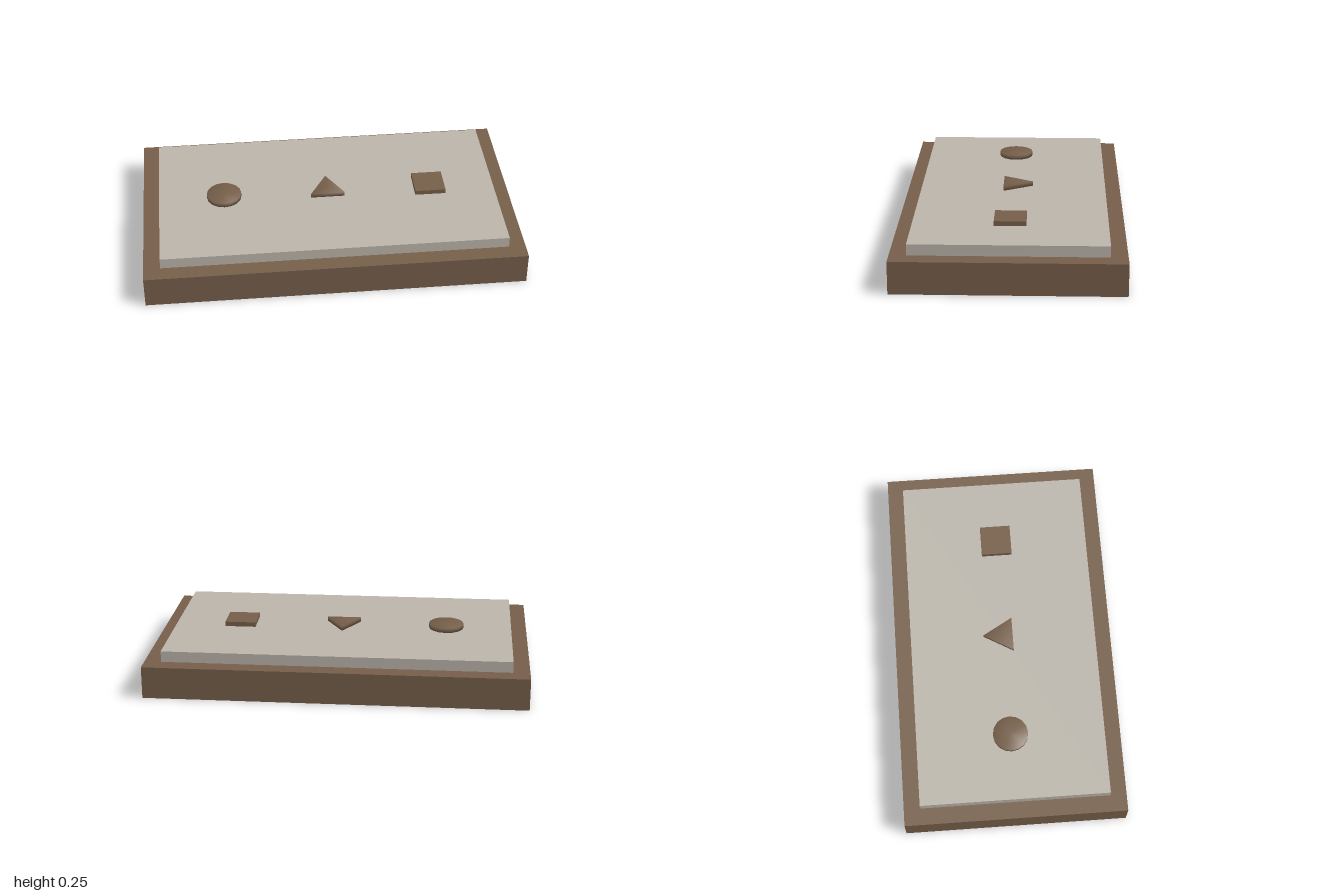
import * as THREE from 'three';
import { mergeVertices } from 'three/addons/utils/BufferGeometryUtils.js';

const BASE_TOP = 0.17, PANEL_TOP = 0.228, BUTTON_TOP = 0.253;

const wood = new THREE.MeshStandardMaterial({ name: 'brown', color: 0x765f4a });
const stone = new THREE.MeshStandardMaterial({ name: 'pale grey', color: 0xbbb5ab });

// Prism whose normals are shared between the cap and the sides
function softPrism(radius, height, sides, turn) {
  const geometry = new THREE.CylinderGeometry(radius, radius, height, sides, 1, false, turn);
  geometry.deleteAttribute('normal');
  geometry.deleteAttribute('uv');
  const merged = mergeVertices(geometry);
  merged.computeVertexNormals();
  return merged;
}

export function createModel() {
  const model = new THREE.Group();
  model.name = 'buttonBoard';

  const add = (name, geometry, material, x, y) => {
    const mesh = new THREE.Mesh(geometry, material);
    mesh.name = name;
    mesh.position.set(x, y, 0);
    model.add(mesh);
  };

  // Base and raised panel
  add('base', new THREE.BoxGeometry(2, BASE_TOP, 1.174), wood, 0, BASE_TOP / 2);
  const panelHeight = PANEL_TOP - BASE_TOP;
  add('panel', new THREE.BoxGeometry(1.824, panelHeight, 1), stone, 0, BASE_TOP + panelHeight / 2);

  // Three shaped buttons standing on the panel
  const height = BUTTON_TOP - PANEL_TOP;
  const y = PANEL_TOP + height / 2;
  add('roundButton', softPrism(0.093, height, 16, 0), wood, -0.56, y);
  add('triangleButton', softPrism(0.105, height, 3, Math.PI), wood, 0, y);
  add('squareButton', new THREE.BoxGeometry(0.165, height, 0.165), wood, 0.557, y);

  return model;
}
